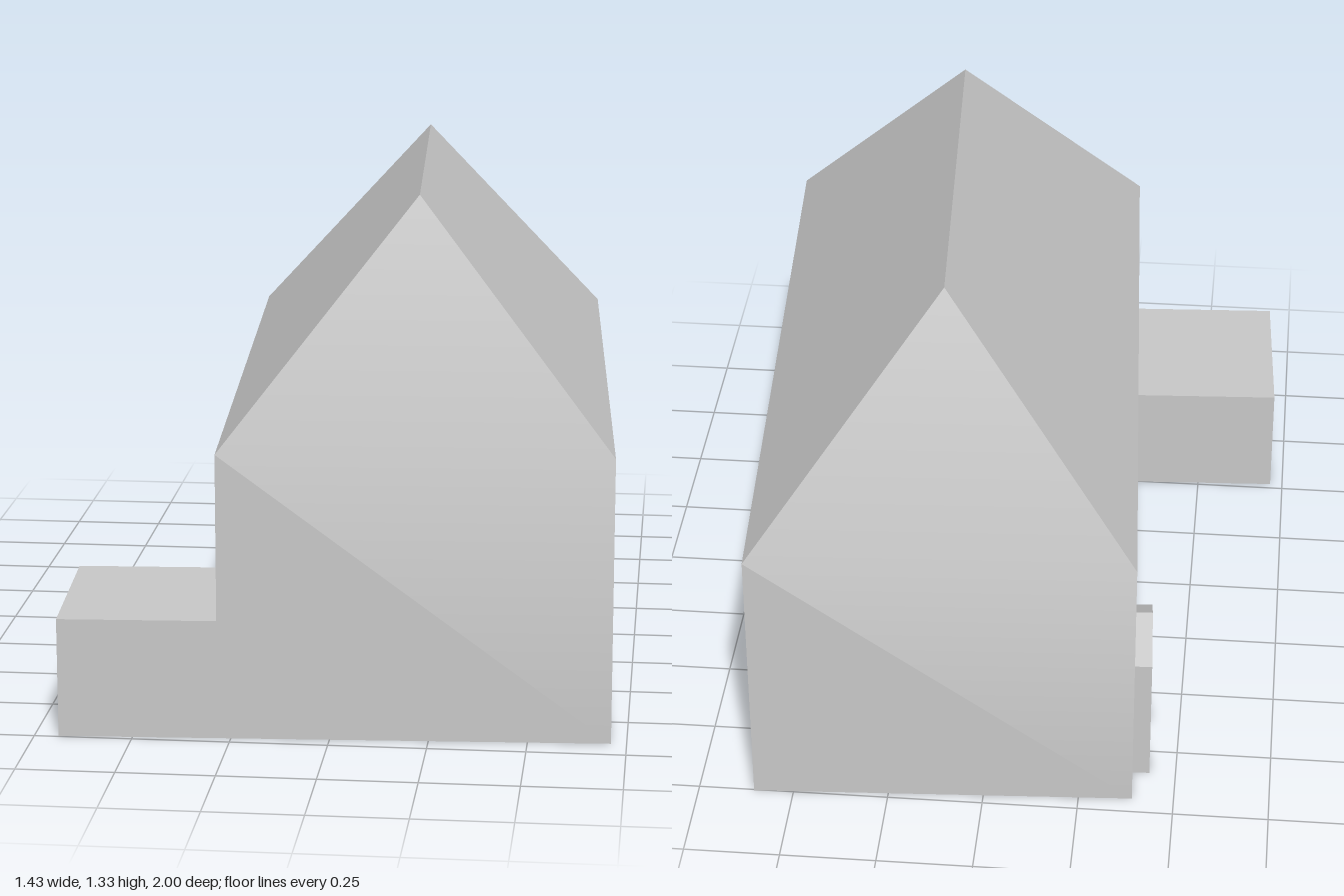
import * as THREE from 'three';

const W = 0.498, L = 0.962, EAVES = 0.742, RIDGE = 1.333, RIDGE_L = 0.577, RECESS = 0.03;

function geometry(points, index) {
  const g = new THREE.BufferGeometry();
  g.setAttribute('position', new THREE.Float32BufferAttribute(points.flat(), 3));
  g.setIndex(index);
  g.computeVertexNormals();
  return g;
}

function rect(x0, x1, y0, y1) {
  return [[x0, y0], [x1, y0], [x1, y1], [x0, y1]].map(p => new THREE.Vector2(...p));
}

export function createModel() {
  const model = new THREE.Group();
  const house = new THREE.Group();
  house.name = 'house';
  house.position.set(0.16, 0, -0.015);
  house.rotation.y = 0.0555;
  model.add(house);

  const plaster = new THREE.MeshStandardMaterial({ color: 0xc8c8c8 });
  plaster.name = 'plain grey';

  function add(name, geo) {
    const mesh = new THREE.Mesh(geo, plaster);
    mesh.name = name;
    house.add(mesh);
    return mesh;
  }

  // Solid body behind the entrance wall, set a hair inside the end walls
  add('body', new THREE.BoxGeometry(2 * W - RECESS, EAVES, 2 * L - 0.002))
    .position.set(RECESS / 2, EAVES / 2, 0);

  // Entrance wall with two recessed windows; shape x runs along the house
  const wall = new THREE.Shape(rect(-L + 0.001, L - 0.001, 0, EAVES));
  for (const start of [-0.266, 0.266])
    wall.holes.push(new THREE.Path(rect(start, start + 0.143, 0.3, 0.62)));
  const wallMesh = add('entranceWall', new THREE.ExtrudeGeometry(wall, { depth: RECESS, bevelEnabled: false }));
  wallMesh.rotation.y = -Math.PI / 2;
  wallMesh.position.x = -W + RECESS;

  // End wall running softly into its roof hip; slope of the main roof
  const endWall = geometry([
    [-W, 0, L], [W, 0, L], [-W, EAVES, L],
    [W, 0, L], [W, EAVES, L], [-W, EAVES, L], [0, RIDGE, RIDGE_L],
  ], [0, 1, 2, 3, 4, 5, 5, 4, 6]);
  const slope = geometry([
    [W, EAVES, L], [W, EAVES, -L], [0, RIDGE, -RIDGE_L], [0, RIDGE, RIDGE_L],
  ], [0, 1, 2, 0, 2, 3]);
  [['front', 'right'], ['back', 'left']].forEach(([end, side], i) => {
    add(end + 'WallAndHip', endWall).rotation.y = i * Math.PI;
    add(side + 'RoofSlope', slope).rotation.y = i * Math.PI;
  });

  // Low flat-roofed annex, flush with the front
  add('annex', new THREE.BoxGeometry(0.405, 0.31, 0.476)).position.set(-0.7005, 0.155, 0.724);

  // Gabled door surround with an open doorway
  const surround = new THREE.Shape([
    [-0.856, 0], [-0.8, 0], [-0.8, 0.295], [-0.645, 0.295], [-0.645, 0],
    [-0.589, 0], [-0.589, 0.357], [-0.7225, 0.432], [-0.856, 0.357],
  ].map(p => new THREE.Vector2(...p)));
  const door = add('doorSurround', new THREE.ExtrudeGeometry(surround, { depth: 0.046, bevelEnabled: false }));
  door.rotation.y = -Math.PI / 2;
  door.position.x = -W;

  return model;
}
